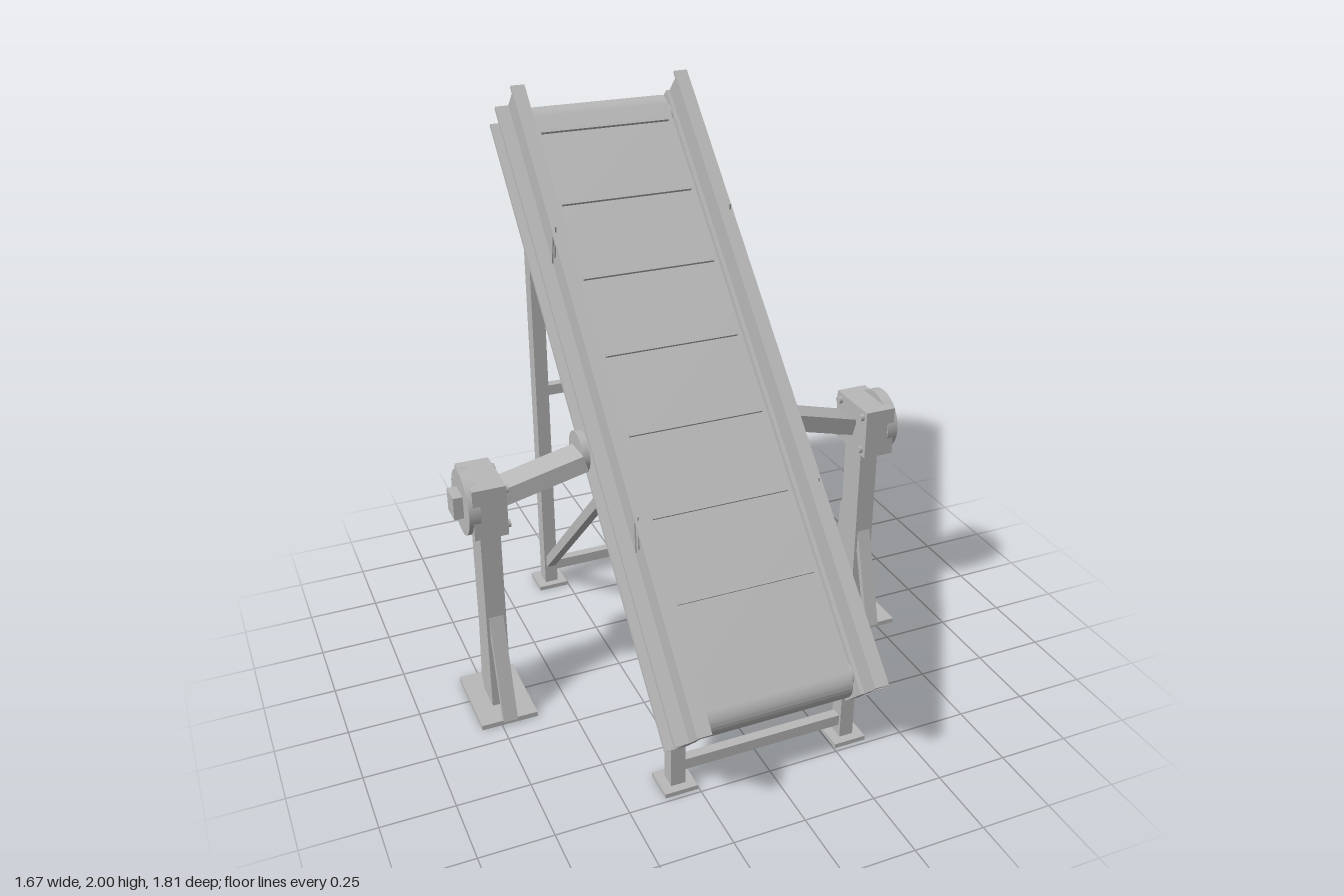
import * as THREE from 'three';
import { toCreasedNormals } from 'three/addons/utils/BufferGeometryUtils.js';

const steel = new THREE.MeshStandardMaterial({ color: 0xb8b8b8 });
steel.name = 'paintedSteel';

export function createModel() {
  const model = new THREE.Group();
  model.name = 'inclinedConveyor';

  const add = (parent, name, geometry, x = 0, y = 0, z = 0) => {
    const mesh = new THREE.Mesh(geometry, steel);
    mesh.name = name;
    mesh.position.set(x, y, z);
    parent.add(mesh);
    return mesh;
  };
  const box = (parent, name, w, h, d, x, y, z) => add(parent, name, new THREE.BoxGeometry(w, h, d), x, y, z);
  // Cylinder lying along x
  const disc = (parent, name, r, length, x, y, z, sides = 32) =>
    add(parent, name, new THREE.CylinderGeometry(r, r, length, sides).rotateZ(Math.PI / 2), x, y, z);
  // Rectangular bar between two points
  const bar = (parent, name, a, b, w, h) => {
    const from = new THREE.Vector3(...a), to = new THREE.Vector3(...b);
    const mesh = add(parent, name, new THREE.BoxGeometry(w, h, from.distanceTo(to)));
    mesh.position.copy(from).add(to).multiplyScalar(0.5);
    mesh.lookAt(to);
    return mesh;
  };

  // Conveyor bed: local -z runs up the slope, local y is its normal
  const bed = new THREE.Group();
  bed.name = 'conveyorBed';
  bed.position.y = 1.09;
  bed.rotation.x = Math.PI / 4;
  model.add(bed);
  box(bed, 'bottomPan', 0.72, 0.012, 2.26, 0, -0.122, 0);

  // Belt loop around both rollers
  const R = 0.075, reach = 1.075;
  const loop = new THREE.Shape();
  loop.absarc(reach, 0, R, -Math.PI / 2, Math.PI / 2, false);
  loop.absarc(-reach, 0, R, Math.PI / 2, Math.PI * 1.5, false);
  loop.closePath();
  const beltGeometry = new THREE.ExtrudeGeometry(loop, { depth: 0.53, bevelEnabled: false, curveSegments: 24 });
  beltGeometry.translate(0, 0, -0.265).rotateY(Math.PI / 2);
  add(bed, 'belt', toCreasedNormals(beltGeometry, 0.6), 0, -0.042, 0);
  for (let i = 0; i < 7; i++) box(bed, 'beltCleat', 0.49, 0.015, 0.01, 0, 0.038, -1.01 + i * 0.29);

  // Half of the side rail section, as x and y pairs
  const section = [
    [0.285, 0.1275], [0.335, 0.1275], [0.335, 0.115], [0.322, 0.115], [0.322, 0], [0.37, 0],
    [0.37, -0.016], [0.335, -0.016], [0.335, -0.115], [0.37, -0.115], [0.37, -0.129],
    [0.29, -0.129], [0.29, 0], [0.304, 0], [0.304, 0.115], [0.285, 0.115],
  ];

  for (const s of [1, -1]) {
    const side = s > 0 ? 'left' : 'right';

    // Side rail with roller shaft ends and direction chevrons
    const profile = new THREE.Shape(section.map(([x, y]) => new THREE.Vector2(s * x, y)));
    const rail = new THREE.ExtrudeGeometry(profile, { depth: 2.31, bevelEnabled: false });
    add(bed, side + 'SideRail', rail.translate(0, 0, -1.155));
    for (const z of [-reach, reach]) {
      disc(bed, side + 'RollerCollar', 0.038, 0.025, s * 0.278, -0.042, z, 16);
      disc(bed, side + 'RollerBolt', 0.027, 0.02, s * 0.344, -0.042, z, 8);
    }
    for (const z of [0.544, -0.5]) {
      for (const dy of [0.038, -0.042]) {
        bar(bed, side + 'Chevron', [s * 0.3245, 0.074, z], [s * 0.3245, 0.074 + dy, z - 0.112], 0.006, 0.008);
      }
    }

    // Legs, feet and diagonal brace
    const legX = s * 0.312;
    box(model, side + 'FrontLeg', 0.05, 0.185, 0.055, legX, 0.1025, 0.677);
    box(model, side + 'FrontFoot', 0.115, 0.016, 0.115, legX, 0.008, 0.677);
    box(model, side + 'BackLeg', 0.05, 1.49, 0.06, legX, 0.755, -0.634);
    box(model, side + 'BackFoot', 0.115, 0.016, 0.115, legX, 0.008, -0.634);
    bar(model, side + 'DiagonalBrace', [legX, 0.1, -0.615], [legX, 0.808, 0.112], 0.035, 0.037);

    // Pivot stand
    const stand = new THREE.Group();
    stand.name = side + 'PivotStand';
    stand.position.z = 0.022;
    model.add(stand);
    const X = s * 0.721;
    box(stand, 'standBase', 0.2, 0.018, 0.3, X, 0.009, 0);
    box(stand, 'standPost', 0.07, 0.73, 0.112, X, 0.38, 0);
    for (const d of [1, -1]) bar(stand, 'postBrace', [X, 0.012, d * 0.131], [X, 0.44, d * 0.05], 0.05, 0.024);

    // Gear housing with round cover and square shaft
    box(stand, 'gearHousing', 0.115, 0.182, 0.215, s * 0.728, 0.822, 0);
    disc(stand, 'roundCover', 0.112, 0.04, s * 0.78, 0.825, 0, 40);
    box(stand, 'squareShaft', 0.034, 0.08, 0.08, s * 0.816, 0.825, 0);
    for (const dy of [-0.065, 0.065]) {
      for (const dz of [-0.08, 0.08]) disc(stand, 'housingBolt', 0.014, 0.014, s * 0.664, 0.822 + dy, dz, 8);
    }

    // Sloping arm to the rail flange
    bar(stand, 'pivotArm', [s * 0.375, 0.918, 0], [s * 0.66, 0.824, 0], 0.113, 0.06);
    disc(stand, 'railFlange', 0.073, 0.025, s * 0.381, 0.928, 0);
  }

  // Cross bars between the legs
  box(model, 'frontCrossBar', 0.58, 0.04, 0.035, 0, 0.08, 0.677);
  for (const y of [0.08, 0.86]) box(model, 'backCrossBar', 0.58, 0.04, 0.035, 0, y, -0.634);

  return model;
}
